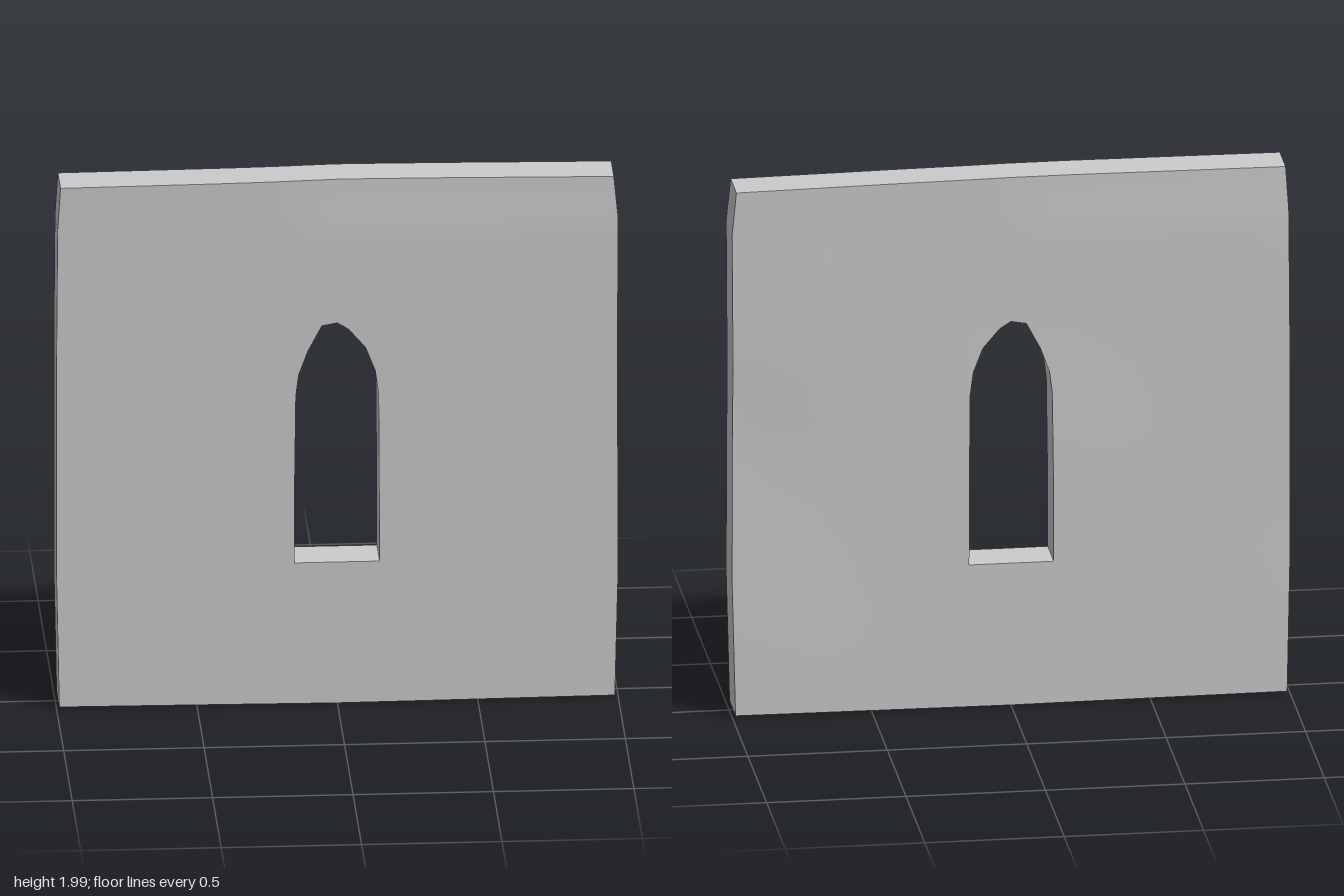
import * as THREE from 'three';
import { toCreasedNormals } from 'three/addons/utils/BufferGeometryUtils.js';

// Pairs of points, counter-clockwise: window opening x, y -> outer edge x, y
const PAIRS = [
  [-0.153, 0.535, -0.99, 0.006], [0, 0.535, 0, 0], [0.15, 0.535, 0.988, 0.006],
  [0.149, 0.85, 1, 0.5], [0.147, 1.17, 0.997, 1.3], [0.135, 1.26, 1, 1.82],
  [0.1, 1.35, 0.985, 1.976], [0.04, 1.42, 0.4, 1.984], [0, 1.445, 0, 1.988],
  [-0.055, 1.435, -0.4, 1.984], [-0.105, 1.34, -0.986, 1.98],
  [-0.138, 1.25, -0.996, 1.82], [-0.148, 1.17, -1, 1.3], [-0.152, 0.85, -1, 0.5],
];
const STEPS = 4; // subdivisions between pairs
const RINGS = 14; // rings from opening to outer edge

const bump = (d, width) => Math.exp(-((d / width) ** 2));

// Gently uneven surface of the front (side = 1) or back (side = -1)
function surfaceZ(x, y, side) {
  const top = THREE.MathUtils.smoothstep(y, 1.75, 1.99);
  const bend = -0.005 * Math.tanh((x + 0.1) * 8) * top;
  const wave = 0.0015 * Math.sin(3.1 * x + side) * Math.sin(4.3 * y + 2 * side);
  const dent = side < 0 ? 0.009 * bump(x - 1, 0.3) * bump(y - 1, 0.25) : 0;
  return side * (0.081 - 0.004 * top - dent) + bend + wave;
}

function createWall() {
  const n = PAIRS.length * STEPS;
  const positions = [];
  const index = [];

  // Point on ring t (0 = opening, 1 = outer edge), around the loop at i
  const point = (i, t, side) => {
    const k = Math.floor(i / STEPS);
    const a = PAIRS[k % PAIRS.length];
    const b = PAIRS[(k + 1) % PAIRS.length];
    const p = a.map((v, j) => THREE.MathUtils.lerp(v, b[j], (i % STEPS) / STEPS));
    const x = THREE.MathUtils.lerp(p[0], p[2], t);
    const y = THREE.MathUtils.lerp(p[1], p[3], t);
    return [x, y, surfaceZ(x, y, side)];
  };

  // Closed loops of points from the back opening edge round to the front one
  const loops = [];
  for (let r = 0; r <= RINGS; r++) loops.push([r / RINGS, -1]);
  for (let r = RINGS; r >= 0; r--) loops.push([r / RINGS, 1]);
  for (const [t, side] of loops) {
    for (let i = 0; i < n; i++) positions.push(...point(i, t, side));
  }

  // Join neighbouring loops; the last joins the first and lines the opening
  for (let r = 0; r < loops.length; r++) {
    const s = (r + 1) % loops.length;
    for (let i = 0; i < n; i++) {
      const j = (i + 1) % n;
      const a = r * n + i, b = r * n + j, c = s * n + j, d = s * n + i;
      index.push(a, b, c, a, c, d);
    }
  }
  const geometry = new THREE.BufferGeometry();
  geometry.setAttribute('position', new THREE.Float32BufferAttribute(positions, 3));
  geometry.setIndex(index);
  return toCreasedNormals(geometry, 0.7);
}

export function createModel() {
  const group = new THREE.Group();
  group.name = 'windowWall';
  const wall = new THREE.Mesh(createWall(), new THREE.MeshStandardMaterial({ color: 0xcccccc }));
  wall.name = 'wallWithArchedOpening';
  group.add(wall);
  return group;
}
